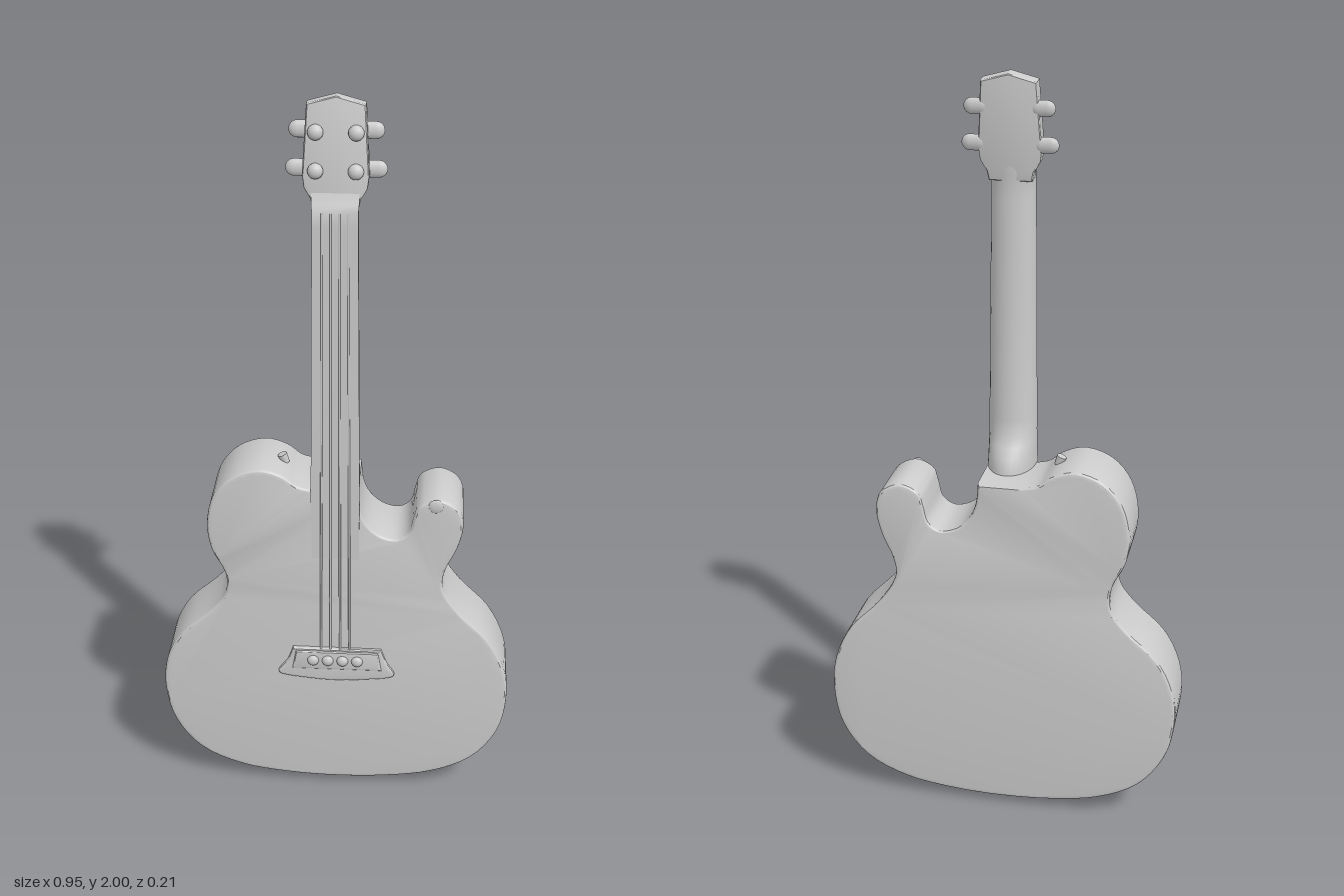
import * as THREE from 'three';
import { toCreasedNormals } from 'three/addons/utils/BufferGeometryUtils.js';

const grey = new THREE.MeshStandardMaterial({ color: 0xcccccc });

function add(parent, name, geometry, x = 0, y = 0, z = 0) {
  const mesh = new THREE.Mesh(geometry, grey);
  mesh.name = name;
  mesh.position.set(x, y, z);
  parent.add(mesh);
  return mesh;
}

const vectors = (points) => points.map(([x, y]) => new THREE.Vector2(x, y));

// Solid plate between two depths, with a rounded rim kept inside the outline
function plate(points, z0, z1, bevel) {
  const geometry = new THREE.ExtrudeGeometry(new THREE.Shape(points), {
    depth: z1 - z0 - 2 * bevel, bevelThickness: bevel, bevelSize: bevel,
    bevelOffset: -bevel, bevelSegments: 3, steps: 1,
  });
  geometry.translate(0, 0, z0 + bevel);
  return toCreasedNormals(geometry, 0.4);
}

// D-shaped neck: each section is [y, half width, front z, back z]
function loftNeck(sections) {
  const arc = 14, n = arc + 3, positions = [], index = [];
  for (const [y, w, front, back] of sections) {
    const side = front - Math.min(0.016, (front - back) * 0.3);
    positions.push(w, y, front);
    for (let i = 0; i <= arc; i++) {
      const a = (i / arc) * Math.PI;
      positions.push(w * Math.cos(a), y, side - (side - back) * Math.sin(a));
    }
    positions.push(-w, y, front);
  }
  const last = (sections.length - 1) * n;
  for (let s = 0; s < last; s += n) {
    for (let i = 0; i < n; i++) {
      const a = s + i, b = s + (i + 1) % n;
      index.push(a, b, b + n, a, b + n, a + n);
    }
  }
  for (let i = 1; i < n - 1; i++) {
    index.push(0, i + 1, i, last, last + i, last + i + 1);
  }
  const geometry = new THREE.BufferGeometry();
  geometry.setAttribute('position', new THREE.Float32BufferAttribute(positions, 3));
  geometry.setIndex(index);
  return toCreasedNormals(geometry, 0.7);
}

export function createModel() {
  const guitar = new THREE.Group();
  guitar.name = 'guitar';

  // Body with one round shoulder and one horned cutaway
  const outline = vectors([
    [-0.06, 0.965], [-0.1, 0.975], [-0.14, 1.005], [-0.2, 1.02], [-0.27, 0.995], [-0.32, 0.935],
    [-0.34, 0.85], [-0.33, 0.77], [-0.297, 0.7], [-0.297, 0.635], [-0.34, 0.575], [-0.42, 0.5],
    [-0.465, 0.41], [-0.475, 0.31], [-0.45, 0.2], [-0.38, 0.105], [-0.27, 0.05], [-0.14, 0.027],
    [0, 0.02], [0.14, 0.027], [0.27, 0.05], [0.38, 0.105], [0.45, 0.2], [0.472, 0.31],
    [0.462, 0.41], [0.415, 0.51], [0.335, 0.595], [0.288, 0.67], [0.292, 0.73], [0.32, 0.795],
    [0.335, 0.865], [0.32, 0.92], [0.27, 0.947], [0.22, 0.928], [0.205, 0.89], [0.193, 0.845],
    [0.16, 0.823], [0.115, 0.835], [0.08, 0.87], [0.064, 0.915], [0.06, 0.965],
  ]);
  const body = new THREE.SplineCurve(outline).getPoints(160);
  add(guitar, 'body', plate(body, -0.105, 0.08, 0.012));

  // Neck with a heel swelling into the body, tapering into the headstock
  add(guitar, 'neck', loftNeck([
    [0.93, 0.064, 0.085, -0.04], [0.975, 0.064, 0.085, -0.035], [1.005, 0.063, 0.085, -0.024],
    [1.03, 0.063, 0.085, -0.006], [1.055, 0.062, 0.085, 0.009], [1.1, 0.062, 0.085, 0.014],
    [1.4, 0.059, 0.086, 0.021], [1.69, 0.056, 0.086, 0.028], [1.735, 0.056, 0.086, 0.028],
    [1.75, 0.057, 0.077, 0.026], [1.79, 0.058, 0.062, 0.026],
  ]));
  add(guitar, 'fingerboardEnd', new THREE.BoxGeometry(0.126, 0.2, 0.02), 0, 0.86, 0.073);

  // Four strings running from the nut to the bridge
  for (const side of [-1.5, -0.5, 0.5, 1.5]) {
    const path = new THREE.LineCurve3(
      new THREE.Vector3(side * 0.026, 0.44, 0.084), new THREE.Vector3(side * 0.021, 1.73, 0.084));
    add(guitar, 'string', new THREE.TubeGeometry(path, 1, 0.003, 8));
  }

  // Bridge: low base with a curved lower edge, raised saddle and four pins
  const base = new THREE.SplineCurve(vectors([
    [-0.115, 0.472], [-0.13, 0.43], [-0.155, 0.385], [-0.08, 0.37], [0, 0.365],
    [0.08, 0.37], [0.16, 0.385], [0.14, 0.43], [0.125, 0.472],
  ])).getPoints(40);
  add(guitar, 'bridgeBase', plate(base, 0.068, 0.09, 0.009));
  const saddle = vectors([[-0.108, 0.465], [-0.118, 0.405], [0.128, 0.405], [0.118, 0.465]]);
  add(guitar, 'bridgeSaddle', plate(saddle, 0.072, 0.094, 0.008));
  for (const x of [-0.06, -0.02, 0.02, 0.06]) {
    const pin = add(guitar, 'bridgePin', new THREE.SphereGeometry(0.016, 14, 10), x, 0.436, 0.093);
    pin.scale.z = 0.75;
  }

  // Headstock, leaning back, with its posts and tuning pegs
  const head = new THREE.Group();
  head.name = 'headstock';
  head.position.set(0, 1.73, 0.03);
  head.rotation.x = -0.1;
  guitar.add(head);
  const headOutline = vectors([
    [-0.055, 0], [0.055, 0], [0.06, 0.025], [0.076, 0.052], [0.08, 0.085], [0.07, 0.252],
    [0, 0.271], [-0.07, 0.252], [-0.08, 0.085], [-0.076, 0.052], [-0.06, 0.025],
  ]);
  add(head, 'headPlate', plate(headOutline, 0, 0.042, 0.006));
  for (const side of [-1, 1]) {
    for (const [y, reach] of [[0.094, 0.098], [0.186, 0.09]]) {
      const post = add(head, 'tunerPost', new THREE.SphereGeometry(0.019, 16, 12),
        side * 0.048, y, 0.046);
      post.scale.z = 0.85;
      const peg = add(head, 'tuningPeg', new THREE.CapsuleGeometry(0.021, 0.022, 6, 16),
        side * (reach - 0.008), y, 0.01);
      peg.rotation.z = Math.PI / 2;
      peg.scale.z = 0.6;
    }
  }

  // Strap buttons, output socket and the small knob on the horn
  add(guitar, 'bottomStrapButton', new THREE.CylinderGeometry(0.018, 0.014, 0.028, 16), 0, 0.014, -0.005);
  const button = add(guitar, 'shoulderStrapButton',
    new THREE.CylinderGeometry(0.013, 0.01, 0.026, 16), -0.14, 1.01, -0.008);
  button.rotation.z = 0.4;
  const socket = add(guitar, 'outputSocket',
    new THREE.SphereGeometry(0.03, 18, 12), 0.4, 0.13, 0.02);
  socket.scale.set(0.4, 0.65, 1.3);
  socket.rotation.z = -0.7;
  const hornButton = add(guitar, 'hornButton', new THREE.SphereGeometry(0.02, 14, 10), 0.262, 0.928, 0.078);
  hornButton.scale.z = 0.3;

  return guitar;
}
